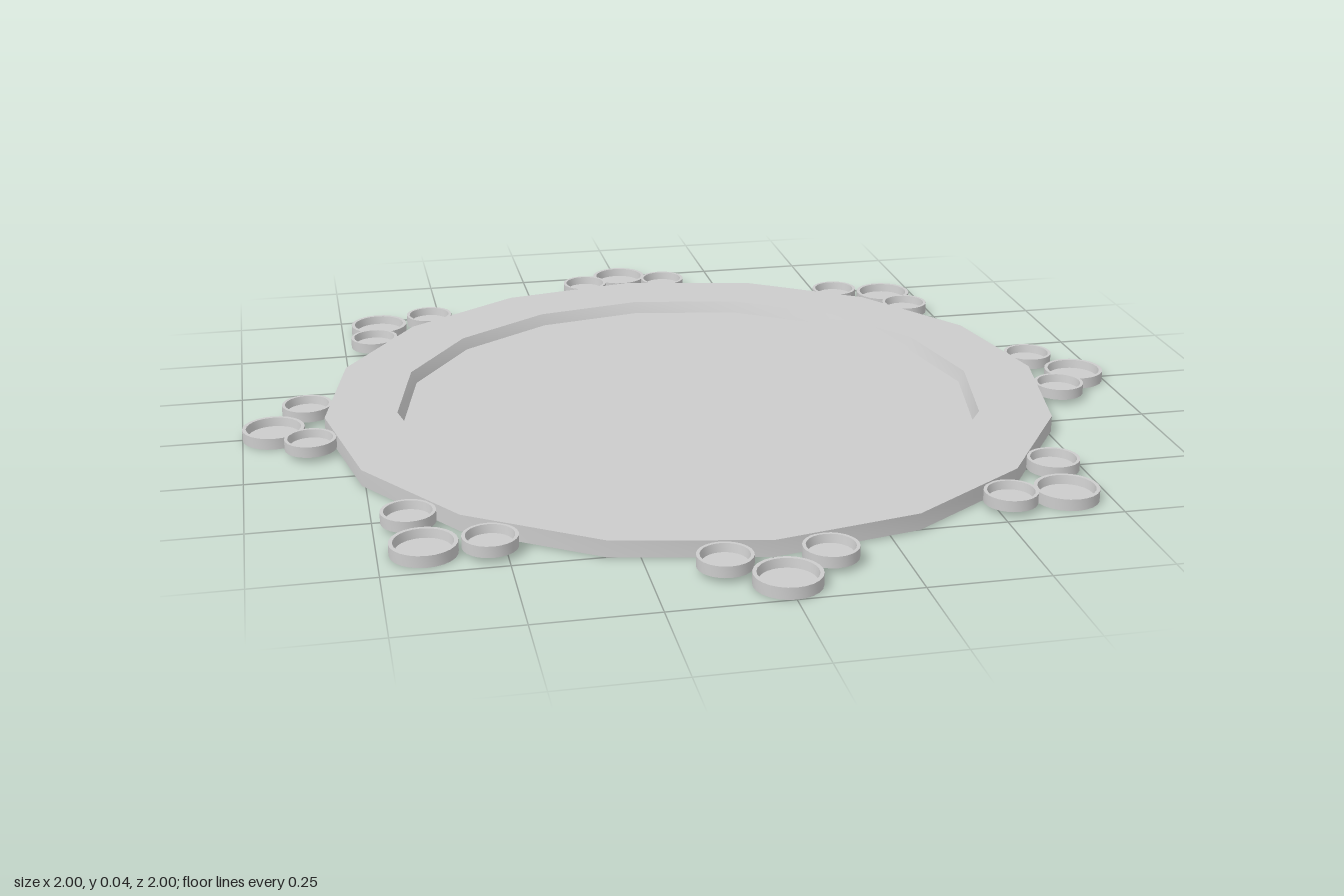
import * as THREE from 'three';
import { toCreasedNormals } from 'three/addons/utils/BufferGeometryUtils.js';

const material = new THREE.MeshStandardMaterial({ color: 0xcccccc, side: THREE.DoubleSide });

// Thin dish shell: outer skirt, flat rim, step down to a sunken floor
function dish(name, { outer, rim, floor, bottom, top, floorY, sides }) {
  const profile = [
    [outer, bottom], [outer, top], [rim, top], [floor, floorY], [0, floorY],
  ].map(([r, y]) => new THREE.Vector2(r, y));
  const geometry = toCreasedNormals(new THREE.LatheGeometry(profile, sides), 0.5);
  const mesh = new THREE.Mesh(geometry, material);
  mesh.name = name;
  return mesh;
}

// One large cup outside two small, slightly raised cups
function cupCluster() {
  const group = new THREE.Group();
  group.name = 'cupCluster';
  const large = dish('largeCup', {
    outer: 0.068, rim: 0.06, floor: 0.057, bottom: 0, top: 0.025, floorY: 0.006, sides: 24,
  });
  large.position.z = 0.932;
  group.add(large);
  for (const side of [-1, 1]) {
    const small = dish('smallCup', {
      outer: 0.056, rim: 0.049, floor: 0.046, bottom: 0.012, top: 0.036, floorY: 0.018, sides: 24,
    });
    small.position.set(side * 0.104, 0, 0.855);
    group.add(small);
  }
  return group;
}

export function createModel() {
  const model = new THREE.Group();
  model.name = 'ornamentalPlate';

  // Sixteen-sided plate
  model.add(dish('plate', {
    outer: 0.82, rim: 0.66, floor: 0.648, bottom: 0.003, top: 0.039, floorY: 0.013, sides: 16,
  }));

  // Eight cup clusters around the edge
  for (let i = 0; i < 8; i++) {
    const cluster = cupCluster();
    cluster.rotation.y = (i * Math.PI) / 4;
    model.add(cluster);
  }
  return model;
}
